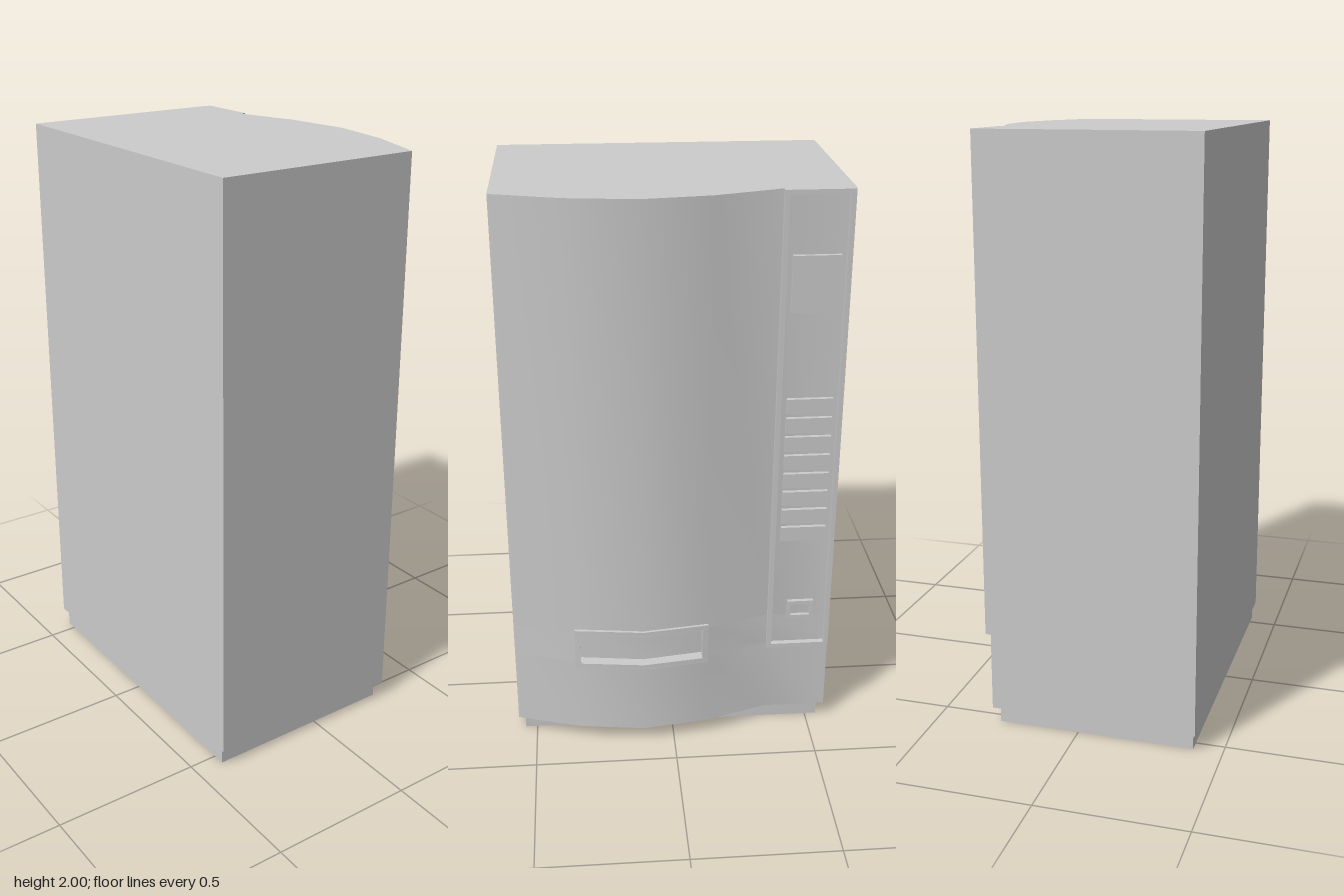
import * as THREE from 'three';
import { toCreasedNormals } from 'three/addons/utils/BufferGeometryUtils.js';

const material = new THREE.MeshStandardMaterial({ color: 0xcccccc });

function add(parent, name, geometry) {
  const mesh = new THREE.Mesh(geometry, material);
  mesh.name = name;
  parent.add(mesh);
  return mesh;
}

// Extrude a plan outline of [x, z] points from y0 to y1.
function planSolid(points, y0, y1, hole) {
  const toVec = ([x, z]) => new THREE.Vector2(x, -z);
  const shape = new THREE.Shape(points.map(toVec));
  if (hole) shape.holes.push(new THREE.Path(hole.map(toVec)));
  const g = new THREE.ExtrudeGeometry(shape, { depth: y1 - y0, bevelEnabled: false });
  g.rotateX(-Math.PI / 2).translate(0, y0, 0);
  return toCreasedNormals(g, 0.6);
}

// Corners of a rectangle in a plane.
const rect = (a0, b0, a1, b1) => [[a0, b0], [a1, b0], [a1, b1], [a0, b1]];

// Box between two corners.
function box(x0, x1, y0, y1, z0, z1) {
  return new THREE.BoxGeometry(x1 - x0, y1 - y0, z1 - z0)
    .translate((x0 + x1) / 2, (y0 + y1) / 2, (z0 + z1) / 2);
}

// Rectangular frame facing +x, with the given border width.
function frame(x0, x1, y0, y1, z0, z1, border) {
  const loop = (b) => rect(-z1 + b, y0 + b, -z0 - b, y1 - b)
    .map(([u, v]) => new THREE.Vector2(u, v));
  const shape = new THREE.Shape(loop(0));
  shape.holes.push(new THREE.Path(loop(border)));
  return new THREE.ExtrudeGeometry(shape, { depth: x1 - x0, bevelEnabled: false })
    .rotateY(Math.PI / 2).translate(x0, 0, 0);
}

export function createModel() {
  const machine = new THREE.Group();
  machine.name = 'vendingMachine';

  // Cabinet: straight back and sides, bowed door
  const back = [[0.3, -0.34], [0.3, -0.565], [-0.41, -0.565], [-0.41, 0.565], [0.3, 0.565]];
  const door = [[0.37, 0.34], [0.4, 0.11], [0.37, -0.12]];
  const notch = [[0.37, 0.34], [0.373, 0.33], [0.34, 0.33], [0.37, 0.11],
    [0.34, -0.1], [0.373, -0.1], [0.37, -0.12]];
  const cabinet = new THREE.Group();
  cabinet.name = 'cabinet';
  machine.add(cabinet);
  add(cabinet, 'lowerCabinet', planSolid([...back, ...door], 0.06, 0.34));
  add(cabinet, 'trayRecess', planSolid([...back, ...notch], 0.34, 0.46));
  add(cabinet, 'upperCabinet', planSolid([...back, ...door], 0.46, 2));

  // Hollow plinth
  add(machine, 'plinth', planSolid(rect(-0.4, -0.542, 0.28, 0.542), 0, 0.06,
    rect(-0.395, -0.537, 0.275, 0.537)));

  // Delivery tray surround, following the bowed door
  const tray = new THREE.Group();
  tray.name = 'deliveryTray';
  machine.add(tray);
  const band = [[0.38, 0.35], [0.41, 0.11], [0.38, -0.12],
    [0.35, -0.12], [0.375, 0.11], [0.35, 0.35]];
  add(tray, 'trayBottomRail', planSolid(band, 0.322, 0.342));
  add(tray, 'trayTopRail', planSolid(band, 0.458, 0.478));
  for (const [z0, x0, z1, x1] of [[0.35, 0.38, 0.33, 0.383], [-0.12, 0.38, -0.1, 0.383]]) {
    add(tray, 'trayEndRail', planSolid([[0.34, z0], [x0, z0], [x1, z1], [0.34, z1]], 0.342, 0.458));
  }

  // Control panel: raised rim around a shallow recess
  const panel = new THREE.Group();
  panel.name = 'controlPanel';
  machine.add(panel);
  add(panel, 'panelRim', frame(0.295, 0.32, 0.33, 2, -0.562, -0.34, 0.016));
  add(panel, 'noteReader', box(0.29, 0.314, 1.6, 1.79, -0.53, -0.375));
  for (let i = 0; i < 8; i++) {
    const y = 0.768 + i * 0.0687;
    add(panel, 'selectionButton', box(0.29, 0.314, y, y + 0.053, -0.53, -0.375));
  }
  add(panel, 'coinReturn', frame(0.295, 0.314, 0.45, 0.52, -0.502, -0.41, 0.012));

  return machine;
}
